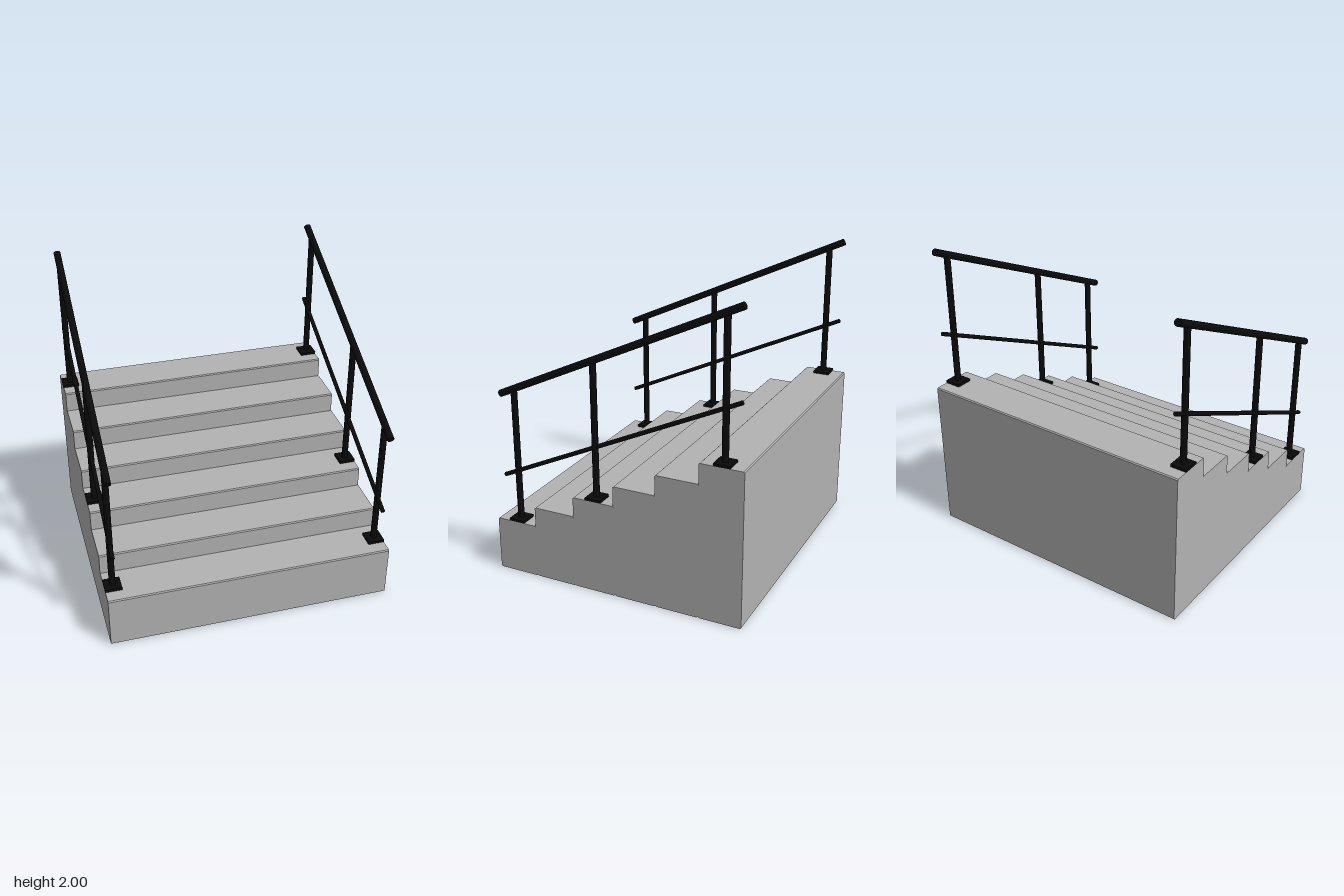
import * as THREE from 'three';

export function createModel() {
  const group = new THREE.Group();
  group.name = 'staircase';

  const concrete = new THREE.MeshStandardMaterial({ color: 0xb2b2b2 });
  concrete.name = 'concrete grey';
  const metal = new THREE.MeshStandardMaterial({ color: 0x0a0a0a });
  metal.name = 'black metal';

  const STEPS = 6, WIDTH = 1.88, TREAD = 1.72 / STEPS, BASE = 0.36, RISE = 0.1345;
  const stepTop = (i) => BASE + i * RISE;
  const stepZ = (i) => 0.86 - (i + 0.5) * TREAD;

  function add(parent, name, geometry, material, x = 0, y = 0, z = 0) {
    const mesh = new THREE.Mesh(geometry, material);
    mesh.name = name;
    mesh.position.set(x, y, z);
    parent.add(mesh);
    return mesh;
  }

  // Step block: chamfered side profile extruded across the width
  function stepGeometry(height) {
    const h = TREAD / 2, c = 0.007;
    const shape = new THREE.Shape([
      [-h + c, 0], [h - c, 0], [h, c], [h, height - c],
      [h - c, height], [-h + c, height], [-h, height - c], [-h, c],
    ].map(([x, y]) => new THREE.Vector2(x, y)));
    return new THREE.ExtrudeGeometry(shape, { depth: WIDTH, bevelEnabled: false })
      .translate(0, 0, -WIDTH / 2)
      .rotateY(-Math.PI / 2);
  }

  for (let i = 0; i < STEPS; i++) {
    add(group, `step${i + 1}`, stepGeometry(stepTop(i)), concrete, 0, 0, stepZ(i));
  }

  // Handrails follow the pitch of the stairs
  const slope = RISE / TREAD, END = 0.817;
  const railY = (z) => 1.599 - slope * z;
  const railLength = 2 * END * Math.hypot(1, slope);

  function addRail(parent, name, radius, drop, x) {
    const rail = add(parent, name, new THREE.CylinderGeometry(radius, radius, railLength, 16), metal, x, railY(0) - drop, 0);
    rail.rotation.x = -Math.atan2(1, slope);
  }

  for (const [side, x] of [['left', 0.886], ['right', -0.886]]) {
    const railing = new THREE.Group();
    railing.name = `${side}Railing`;
    group.add(railing);

    addRail(railing, 'handrail', 0.023, 0, x);
    addRail(railing, 'midRail', 0.014, 0.557, x);

    // Posts with square floor plates
    for (const i of [0, 2, 5]) {
      const y = stepTop(i), z = stepZ(i), height = railY(z) - y;
      add(railing, 'post', new THREE.CylinderGeometry(0.021, 0.021, height, 16), metal, x, y + height / 2, z);
      add(railing, 'basePlate', new THREE.BoxGeometry(0.11, 0.018, 0.108), metal, x, y + 0.009, z);
    }
  }

  return group;
}
